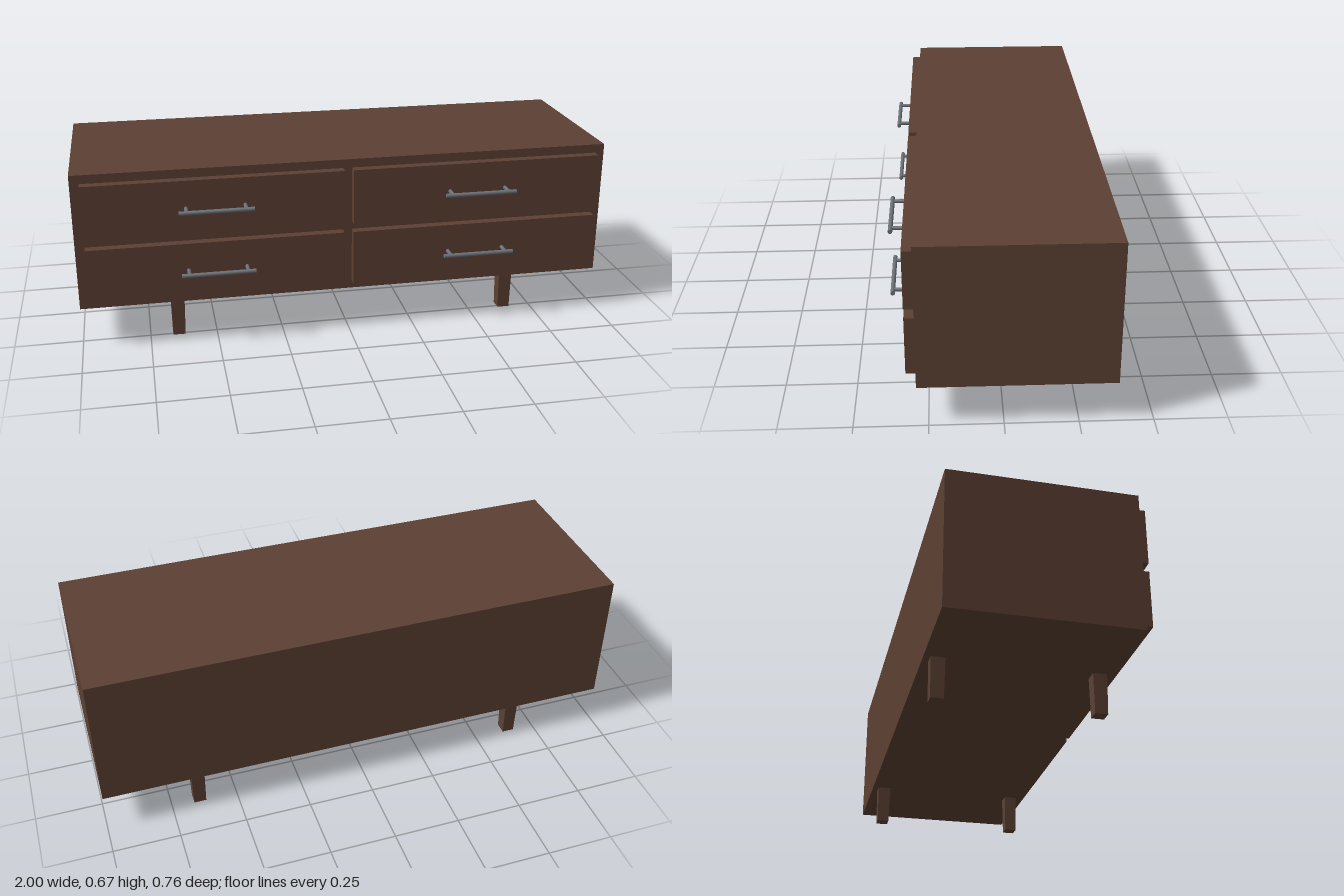
import * as THREE from 'three';

export function createModel() {
  const model = new THREE.Group();
  model.name = 'drawerCabinet';

  const wood = new THREE.MeshStandardMaterial({ color: 0x5c4033 });
  wood.name = 'darkWood';
  const metal = new THREE.MeshStandardMaterial({ color: 0x6b7076 });
  metal.name = 'greyMetal';

  const add = (parent, name, geometry, material, x, y, z) => {
    const mesh = new THREE.Mesh(geometry, material);
    mesh.name = name;
    mesh.position.set(x, y, z);
    parent.add(mesh);
    return mesh;
  };

  // Cabinet body
  const bottom = 0.15, height = 0.517, front = 0.288, back = -0.378;
  add(model, 'body', new THREE.BoxGeometry(2, height, front - back), wood,
    0, bottom + height / 2, (front + back) / 2);

  // Drawer fronts, each with a bar handle on two posts
  const panel = new THREE.BoxGeometry(0.948, 0.209, 0.034);
  const bar = new THREE.CylinderGeometry(0.008, 0.008, 0.27, 16).rotateZ(Math.PI / 2);
  const post = new THREE.CylinderGeometry(0.007, 0.007, 0.05, 16).rotateX(Math.PI / 2);
  for (const side of [-1, 1]) {
    for (const y of [0.288, 0.53]) {
      const drawer = new THREE.Group();
      drawer.name = (side > 0 ? 'left' : 'right') + (y > 0.4 ? 'Upper' : 'Lower') + 'Drawer';
      drawer.position.set(side * 0.491, y, front);
      add(drawer, 'drawerFront', panel, wood, 0, 0, 0.017);
      add(drawer, 'handleBar', bar, metal, 0, 0, 0.084);
      for (const x of [-0.107, 0.107]) add(drawer, 'handlePost', post, metal, x, 0, 0.059);
      model.add(drawer);
    }
  }

  // Square legs, tapering slightly toward the floor
  const leg = new THREE.CylinderGeometry(0.051 * Math.SQRT1_2, 0.046 * Math.SQRT1_2, bottom, 4)
    .rotateY(Math.PI / 4).toNonIndexed();
  leg.computeVertexNormals();
  for (const x of [-0.643, 0.643]) {
    for (const z of [0.238, -0.329]) {
      add(model, (z > 0 ? 'front' : 'back') + (x > 0 ? 'Left' : 'Right') + 'Leg', leg, wood, x, bottom / 2, z);
    }
  }

  return model;
}
